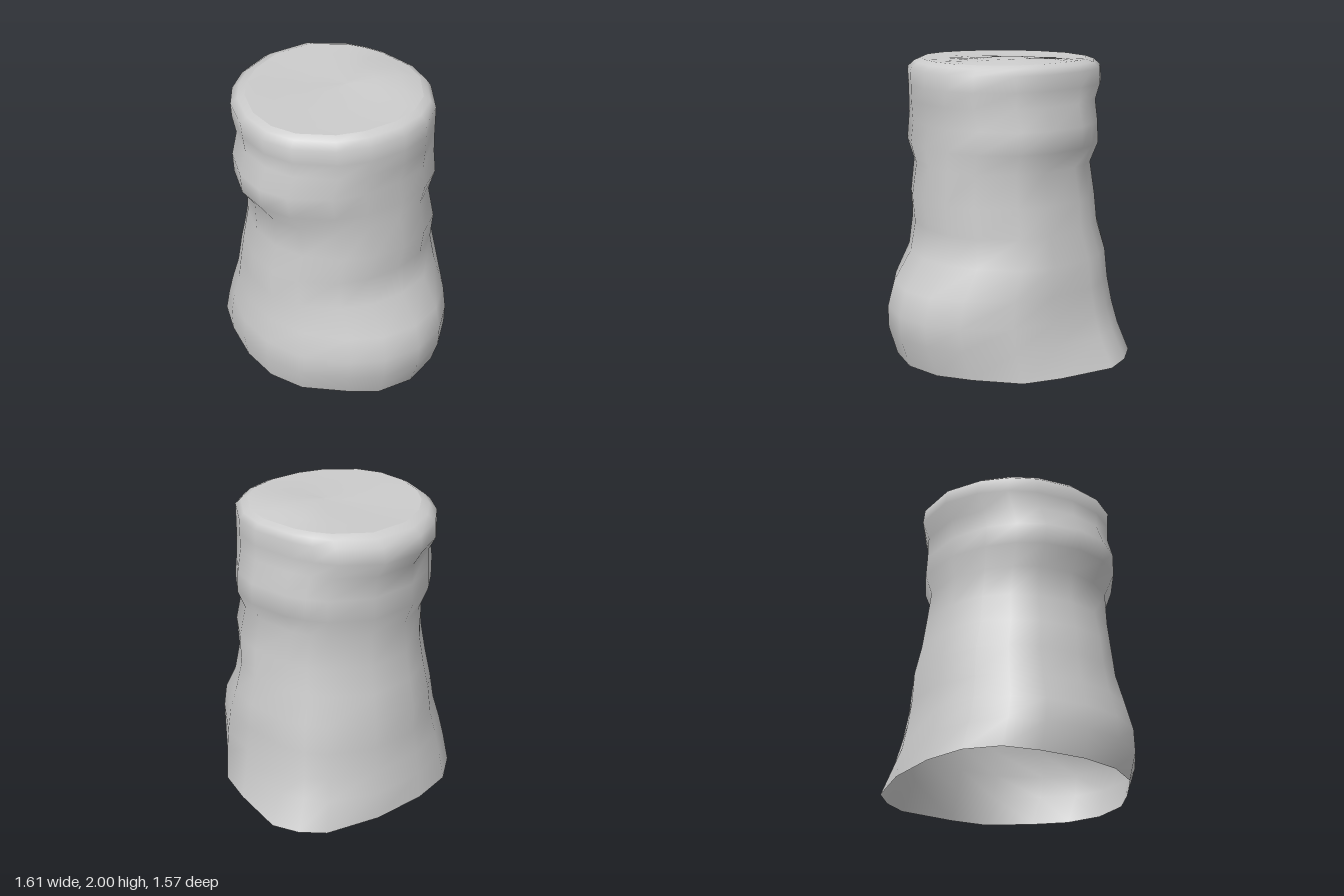
import * as THREE from 'three';

// Direction (degrees from +x towards +z) and root flare of each vertical ridge
const ridges = [
  [4, 1], [23, 1], [40, 0.955], [64, 0.99], [83, 1.01], [102, 1.02],
  [122, 1.06], [137, 1.13], [153, 1.09], [173, 1.0], [202, 0.99], [229, 1.125],
  [241, 1.155], [252.5, 1.15], [277, 0.995], [297, 0.985], [324, 0.92], [344, 0.965],
];

// Wall levels: height, reach towards -x, +x, -z, +z, and strength of the flare
const levels = [
  [0.0, 0.81, 0.74, 0.72, 0.75, 1],
  [0.2, 0.785, 0.80, 0.67, 0.785, 0.6],
  [0.35, 0.755, 0.805, 0.645, 0.775, 0.45],
  [0.52, 0.73, 0.76, 0.63, 0.73, 0.3],
  [0.71, 0.72, 0.62, 0.625, 0.705, 0.15],
  [0.90, 0.68, 0.58, 0.575, 0.69, 0],
  [1.09, 0.65, 0.61, 0.565, 0.65, 0],
  [1.30, 0.63, 0.57, 0.52, 0.655, 0],
  [1.43, 0.67, 0.59, 0.58, 0.74, 0],
  [1.57, 0.66, 0.565, 0.58, 0.75, 0],
  [1.71, 0.67, 0.59, 0.535, 0.695, 0],
  [1.81, 0.73, 0.59, 0.535, 0.70, 0],
  [1.91, 0.715, 0.59, 0.535, 0.71, 0],
  [1.95, 0.66, 0.545, 0.51, 0.67, 0],
  [1.97, 0.60, 0.50, 0.47, 0.63, 0],
];

function ring([y, left, right, back, front, flare]) {
  return ridges.map(([deg, f]) => {
    const t = THREE.MathUtils.degToRad(deg), c = Math.cos(t), s = Math.sin(t);
    const k = 1 + (f - 1) * flare;
    const lift = y === 0 ? 0.02 * Math.max(0, s, -c) : 0; // slightly uneven foot
    return [c * (c < 0 ? left : right) * k, y + lift, s * (s < 0 ? back : front) * k];
  });
}

// Joins closed rings into one smooth surface
function loft(rings, name) {
  const n = ridges.length, index = [];
  for (let r = 0; r < rings.length - 1; r++) {
    for (let j = 0; j < n; j++) {
      const a = r * n + j, b = r * n + (j + 1) % n;
      index.push(a, a + n, b, b, a + n, b + n);
    }
  }
  const geometry = new THREE.BufferGeometry();
  geometry.setAttribute('position', new THREE.Float32BufferAttribute(rings.flat(2), 3));
  geometry.setIndex(index);
  geometry.computeVertexNormals();
  const material = new THREE.MeshStandardMaterial({ color: 0xcccccc, side: THREE.DoubleSide });
  const mesh = new THREE.Mesh(geometry, material);
  mesh.name = name;
  return mesh;
}

export function createModel() {
  const group = new THREE.Group();
  group.name = 'stump';

  // Bulging wall, open underneath
  const wall = levels.map(ring);
  group.add(loft(wall, 'trunkWall'));

  // Gently uneven top with a low rise behind the middle
  const rim = wall[wall.length - 1];
  const cap = [1, 0.75, 0.4, 0.001].map((k) => rim.map(([x, y, z]) => {
    const px = x * k, pz = z * k;
    const rise = 0.033 * Math.exp(-((px - 0.1) ** 2 + (pz + 0.22) ** 2) / 0.08);
    const dip = 0.015 * Math.exp(-((px + 0.3) ** 2 + (pz - 0.1) ** 2) / 0.06);
    return [px, k === 1 ? y : y + rise - dip, pz];
  }));
  group.add(loft(cap, 'topCap'));

  return group;
}
